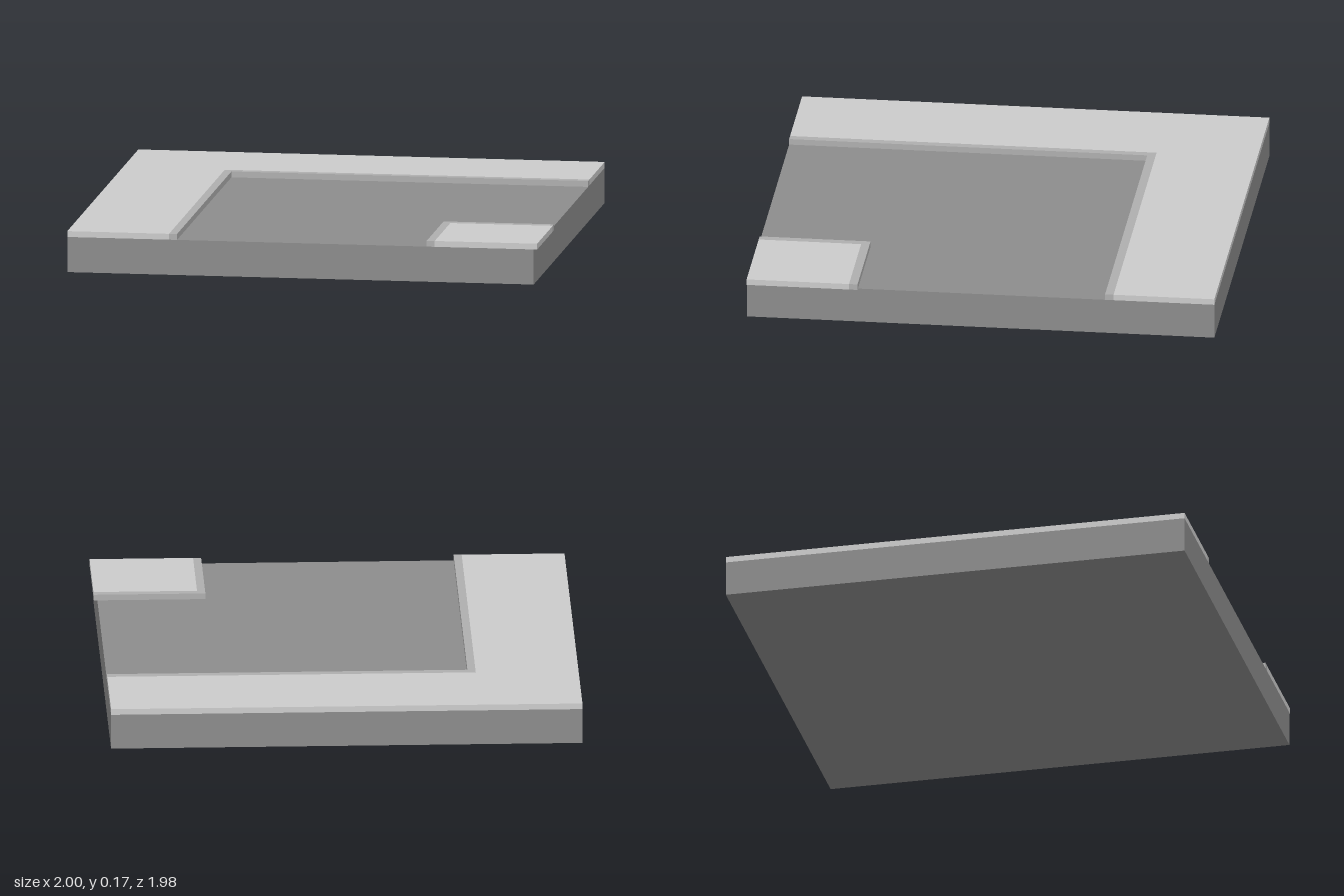
import * as THREE from 'three';

const ROAD_Y = 0.15, TOP_Y = 0.175;
const BACK = -0.99, FRONT = 0.99, LEFT = 0.985, RIGHT = -1, SLAB_EDGE = 1;

const material = (color) => new THREE.MeshStandardMaterial({ color, flatShading: true });

// Flat slab from an outline of [x, z] points, resting on the road surface
function slab(name, points, mat) {
  const shape = new THREE.Shape(points.map(([x, z]) => new THREE.Vector2(x, -z)));
  const geometry = new THREE.ExtrudeGeometry(shape, { depth: TOP_Y - ROAD_Y, bevelEnabled: false });
  geometry.rotateX(-Math.PI / 2);
  const mesh = new THREE.Mesh(geometry, mat);
  mesh.position.y = ROAD_Y;
  mesh.name = name;
  return mesh;
}

// L-shaped band between the outer corner lines and the inner lines
const band = (x0, z0, x1, z1, xEnd, zEnd) => [
  [x0, zEnd], [x1, zEnd], [x1, z1], [xEnd, z1], [xEnd, z0], [x0, z0],
];

export function createModel() {
  const model = new THREE.Group();
  model.name = 'roadCornerTile';
  const roadMat = material(0x8c8c8c);
  const kerbMat = material(0xafafaf);
  const pavementMat = material(0xcccccc);

  // Road block
  const base = new THREE.Mesh(new THREE.BoxGeometry(LEFT - RIGHT, ROAD_Y, FRONT - BACK), roadMat);
  base.position.set((LEFT + RIGHT) / 2, ROAD_Y / 2, 0);
  base.name = 'roadBase';
  model.add(base);

  // Outer pavement along the back and right sides, with its kerb
  model.add(
    slab('outerPavement', band(RIGHT, BACK, -0.567, -0.563, LEFT, FRONT), pavementMat),
    slab('outerKerb', band(-0.567, -0.563, -0.533, -0.527, LEFT, FRONT), kerbMat),
  );

  // Inner corner pavement, slightly overhanging the left side, with its kerb
  model.add(
    slab('cornerPavement', [[0.564, 0.556], [SLAB_EDGE, 0.556], [SLAB_EDGE, FRONT], [0.564, FRONT]], pavementMat),
    slab('cornerKerb', band(0.53, 0.52, 0.564, 0.556, SLAB_EDGE, FRONT), kerbMat),
  );
  return model;
}
